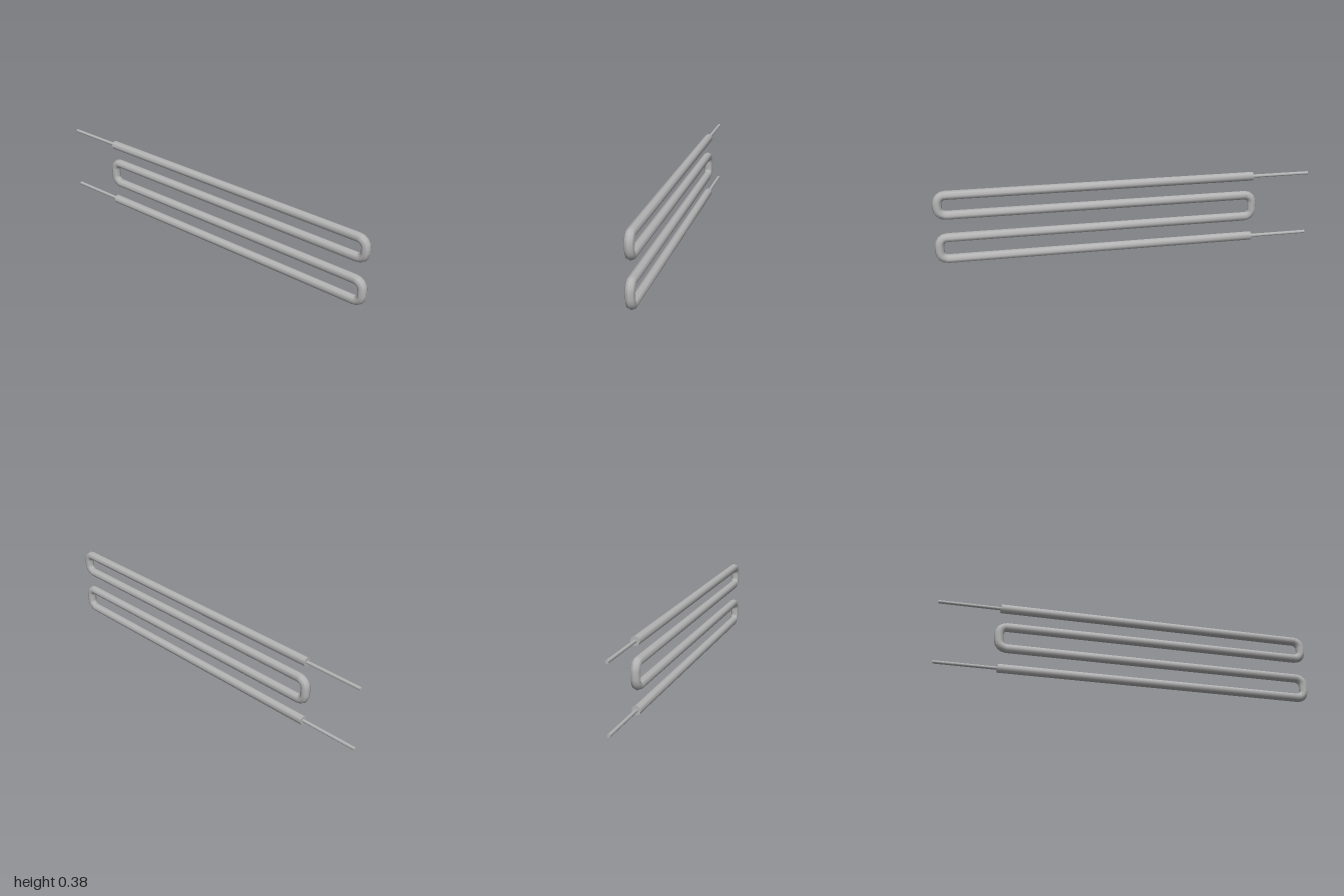
import * as THREE from 'three';

const SIDES = 8, TUBE_R = 0.024, ROD_R = 0.009, BEND_R = 0.04;
const ROWS = [0.361, 0.257, 0.138, 0.025]; // centre heights of the four runs
const FRONT_Z = 0.976, BACK_Z = -0.684;

// Path in the (z, y) plane with every inner corner rounded; returns points with tangents
function roundedPath(corners) {
  const path = [];
  const add = (p, t) => path.push({ p, t });
  const dir = (a, b) => b.clone().sub(a).normalize();
  const last = corners.length - 1;
  add(corners[0], dir(corners[0], corners[1]));
  for (let i = 1; i < last; i++) {
    const c = corners[i];
    const d0 = dir(corners[i - 1], c), d1 = dir(c, corners[i + 1]);
    const centre = c.clone().addScaledVector(d0, -BEND_R).addScaledVector(d1, BEND_R);
    const steps = 4;
    for (let k = 0; k <= steps; k++) {
      const a = (k / steps) * Math.PI / 2;
      const p = centre.clone()
        .addScaledVector(d1, -BEND_R * Math.cos(a))
        .addScaledVector(d0, BEND_R * Math.sin(a));
      const t = d0.clone().multiplyScalar(Math.cos(a)).addScaledVector(d1, Math.sin(a));
      add(p, t);
    }
  }
  add(corners[last], dir(corners[last - 1], corners[last]));
  return path;
}

// Sweep a ring of SIDES points along the planar path
function sweep(path, radius) {
  const pos = [], index = [];
  path.forEach(({ p, t }, i) => {
    for (let j = 0; j < SIDES; j++) {
      const a = (j / SIDES) * Math.PI * 2;
      const off = radius * Math.sin(a);
      pos.push(radius * Math.cos(a), p.y + t.x * off, p.x - t.y * off);
      if (i === 0) continue;
      const n = (j + 1) % SIDES, r0 = (i - 1) * SIDES, r1 = i * SIDES;
      index.push(r0 + j, r1 + j, r0 + n, r0 + n, r1 + j, r1 + n);
    }
  });
  // Orient faces outward
  for (let k = 0; k < index.length; k += 3) {
    [index[k + 1], index[k + 2]] = [index[k + 2], index[k + 1]];
  }
  const g = new THREE.BufferGeometry();
  g.setAttribute('position', new THREE.Float32BufferAttribute(pos, 3));
  g.setIndex(index);
  g.computeVertexNormals();
  return g;
}

export function createModel() {
  const group = new THREE.Group();
  group.name = 'heatingElement';
  const metal = new THREE.MeshStandardMaterial({ color: 0xb4b4b4, side: THREE.DoubleSide });
  metal.name = 'grey metal';
  const add = (geometry, name) => {
    const mesh = new THREE.Mesh(geometry, metal);
    mesh.name = name;
    group.add(mesh);
    return mesh;
  };

  // Serpentine tube
  const v = (z, y) => new THREE.Vector2(z, y);
  const corners = [
    v(BACK_Z, ROWS[0]), v(FRONT_Z, ROWS[0]),
    v(FRONT_Z, ROWS[1]), v(BACK_Z, ROWS[1]),
    v(BACK_Z, ROWS[2]), v(FRONT_Z, ROWS[2]),
    v(FRONT_Z, ROWS[3]), v(BACK_Z, ROWS[3]),
  ];
  add(sweep(roundedPath(corners), TUBE_R), 'serpentineTube');

  // End caps and terminal rods
  for (const [label, y] of [['upper', ROWS[0]], ['lower', ROWS[3]]]) {
    const cap = add(new THREE.CircleGeometry(TUBE_R, SIDES), label + 'TubeCap');
    cap.rotation.y = Math.PI;
    cap.position.set(0, y, BACK_Z);

    const length = 1 + BACK_Z + 0.02;
    const rod = add(new THREE.CylinderGeometry(ROD_R, ROD_R, length, SIDES), label + 'TerminalRod');
    rod.rotation.x = Math.PI / 2;
    rod.position.set(0, y, -1 + length / 2);
  }
  return group;
}
